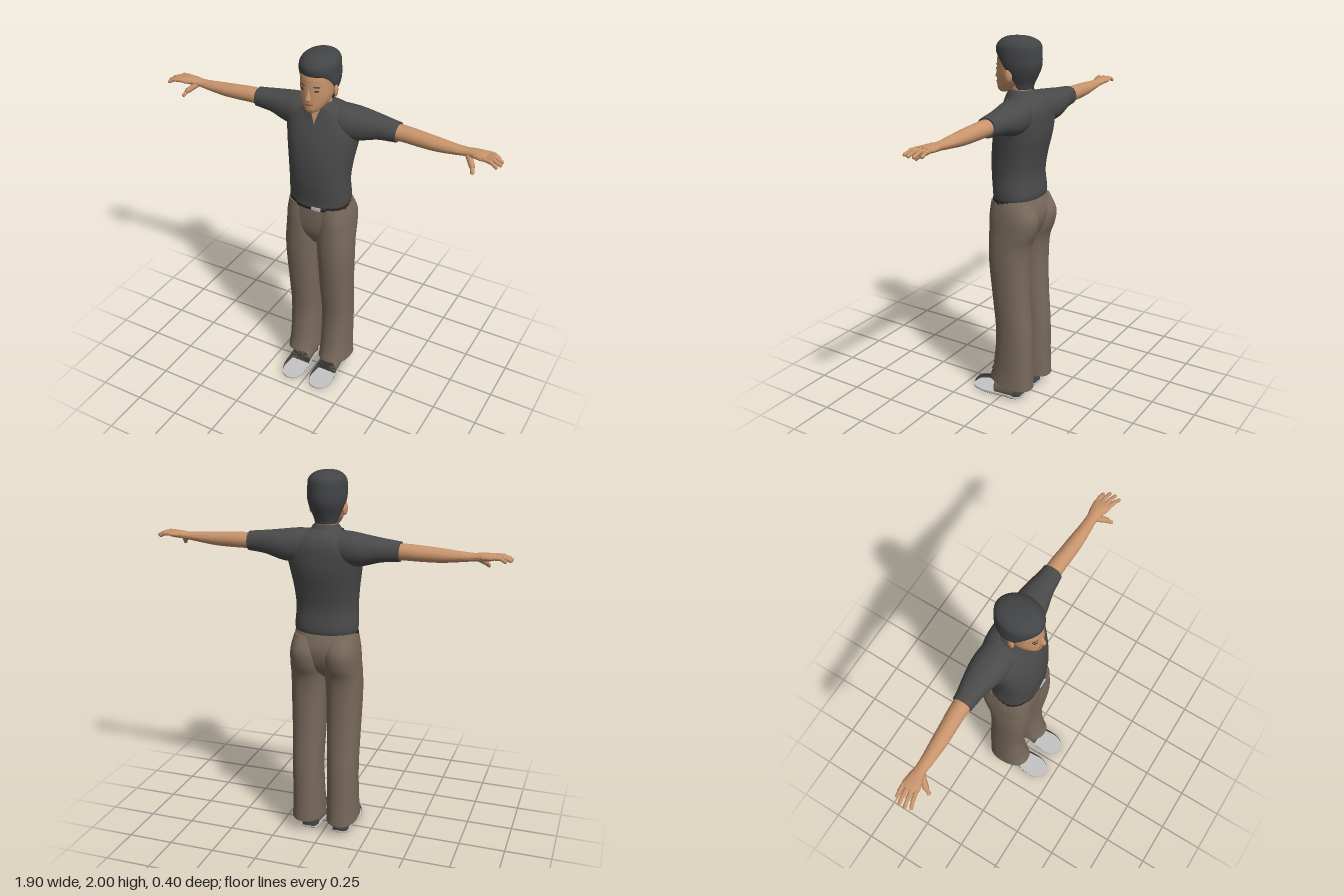
import * as THREE from 'three';
import { toCreasedNormals } from 'three/addons/utils/BufferGeometryUtils.js';

const mat = (name, color, side = THREE.FrontSide) => {
  const m = new THREE.MeshStandardMaterial({ color, side });
  m.name = name;
  return m;
};
const { clamp, smoothstep } = THREE.MathUtils;

// Smooth closed body through sections [t, aMin, aMax, bMin, bMax] along an axis.
// axis 0: a=y b=z, axis 1: a=z b=x, axis 2: a=x b=y. Four values: b is symmetric.
function loft(axis, rows, { n = 2, seg = 32, sub = 5, deform } = {}) {
  rows = rows.map(r => (r.length === 4 ? [r[0], r[1], r[2], -r[3], r[3]] : r));
  const pos = [], idx = [], last = rows.length - 1, count = last * sub;
  const at = i => rows[clamp(i, 0, last)];
  const sample = u => {
    const i = Math.min(Math.floor(u), last - 1), f = u - i;
    return rows[0].map((_, c) => {
      const [p, q, r, s] = [at(i - 1)[c], at(i)[c], at(i + 1)[c], at(i + 2)[c]];
      return q + 0.5 * f * (r - p + f * (2 * p - 5 * q + 4 * r - s + f * (3 * (q - r) + s - p)));
    });
  };
  const put = (t, a, b) => {
    const v = new THREE.Vector3();
    v.setComponent(axis, t).setComponent((axis + 1) % 3, a).setComponent((axis + 2) % 3, b);
    if (deform) deform(v);
    pos.push(v.x, v.y, v.z);
  };
  const power = x => Math.sign(x) * Math.abs(x) ** (2 / n);
  for (let i = 0; i <= count; i++) {
    const [t, a0, a1, b0, b1] = sample(i / sub);
    for (let j = 0; j < seg; j++) {
      const w = (j / seg) * Math.PI * 2;
      put(t, (a0 + a1) / 2 + power(Math.cos(w)) * (a1 - a0) / 2, (b0 + b1) / 2 + power(Math.sin(w)) * (b1 - b0) / 2);
    }
  }
  for (const r of [rows[0], rows[last]]) put(r[0], (r[1] + r[2]) / 2, (r[3] + r[4]) / 2);
  const c0 = (count + 1) * seg, top = count * seg;
  for (let j = 0; j < seg; j++) {
    const k = (j + 1) % seg;
    for (let i = 0; i < count; i++) {
      const p = i * seg + j, q = i * seg + k;
      idx.push(p, q, p + seg, q, q + seg, p + seg);
    }
    idx.push(c0, k, j, c0 + 1, top + j, top + k);
  }
  const g = new THREE.BufferGeometry();
  g.setAttribute('position', new THREE.Float32BufferAttribute(pos, 3));
  g.setIndex(idx);
  return toCreasedNormals(g, 1.0);
}

// Copy reflected in x, with the corner order put right
function mirror(geo) {
  const g = geo.index ? geo.toNonIndexed() : geo.clone();
  g.deleteAttribute('uv');
  for (const a of Object.values(g.attributes))
    for (let i = 0; i < a.count; i += 3)
      for (let c = 0; c < 3; c++) {
        const t = a.getComponent(i, c);
        a.setComponent(i, c, a.getComponent(i + 2, c));
        a.setComponent(i + 2, c, t);
      }
  return g.scale(-1, 1, 1);
}

function capsule(p, q, r) {
  const a = new THREE.Vector3(...p), d = new THREE.Vector3(...q).sub(a);
  const g = new THREE.CapsuleGeometry(r, d.length(), 5, 10);
  g.applyQuaternion(new THREE.Quaternion().setFromUnitVectors(new THREE.Vector3(0, 1, 0), d.clone().normalize()));
  return g.translate(a.x + d.x / 2, a.y + d.y / 2, a.z + d.z / 2);
}

const ellipsoid = (x, y, z, rx, ry, rz, turn = 0) =>
  new THREE.SphereGeometry(1, 16, 12).scale(rx, ry, rz).rotateY(turn).translate(x, y, z);

function facet(points) {
  const g = new THREE.BufferGeometry().setFromPoints(points.map(p => new THREE.Vector3(...p)));
  g.setIndex(points.length === 4 ? [0, 1, 2, 0, 2, 3] : [0, 1, 2]);
  g.computeVertexNormals();
  return g;
}

export function createModel() {
  const model = new THREE.Group();
  model.name = 'standingMan';
  const skin = mat('skin', 0xc8946c), skinSheet = skin;
  skinSheet.side = THREE.DoubleSide;
  const shirt = mat('shirt', 0x4a4a4b, THREE.DoubleSide), hairMat = mat('hair', 0x434446);
  const cloth = mat('trousers', 0x78695b), shoe = mat('shoe', 0x464648);
  const pale = mat('soleRim', 0xc4c4c4), dark = mat('dark', 0x2c2624), lip = mat('lips', 0xa0644f);
  const add = (name, geo, m) => {
    const mesh = new THREE.Mesh(geo, m);
    mesh.name = name;
    model.add(mesh);
  };
  const pair = (name, geo, m) => {
    add(name + 'Left', geo, m);
    add(name + 'Right', mirror(geo), m);
  };

  // Shirt
  add('shirtBody', loft(1, [
    [1.165, -0.155, 0.083, 0.163], [1.2, -0.162, 0.083, 0.168], [1.3, -0.152, 0.092, 0.164],
    [1.4, -0.165, 0.09, 0.172], [1.5, -0.185, 0.075, 0.188], [1.58, -0.19, 0.05, 0.2],
    [1.64, -0.187, 0.025, 0.19], [1.685, -0.168, 0.005, 0.14], [1.715, -0.13, -0.01, 0.07],
  ], { n: 2.3, seg: 40 }), shirt);
  pair('sleeve', loft(0, [
    [0.06, 1.56, 1.712, -0.165, 0], [0.14, 1.54, 1.71, -0.178, 0.005], [0.21, 1.543, 1.702, -0.178, -0.008],
    [0.3, 1.568, 1.69, -0.162, -0.03], [0.36, 1.575, 1.683, -0.15, -0.038], [0.402, 1.578, 1.678, -0.145, -0.043],
  ], { n: 2.2 }), shirt);
  const collar = [[0.058, 1.737], [0.07, 1.725], [0.088, 1.69]].map(p => new THREE.Vector2(...p));
  add('collar', new THREE.LatheGeometry(collar, 32, 0.45, Math.PI * 2 - 0.9).translate(0, 0, -0.05), shirt);
  pair('collarFlap', facet([[0.03, 1.72, 0.02], [0.006, 1.645, 0.043], [0.05, 1.648, 0.04], [0.078, 1.7, 0.006]]), shirt);
  add('openNeck', facet([[-0.036, 1.715, 0.014], [0, 1.63, 0.039], [0.036, 1.715, 0.014]]), skin);

  // Arms, palms and fingers
  pair('arm', loft(0, [
    [0.36, 1.588, 1.67, -0.138, -0.05], [0.45, 1.587, 1.669, -0.137, -0.05], [0.53, 1.586, 1.664, -0.13, -0.048],
    [0.61, 1.588, 1.658, -0.124, -0.047], [0.7, 1.598, 1.65, -0.115, -0.051], [0.76, 1.606, 1.647, -0.112, -0.054],
    [0.8, 1.61, 1.65, -0.118, -0.044], [0.845, 1.614, 1.649, -0.122, -0.03], [0.868, 1.621, 1.645, -0.117, -0.032],
  ], { seg: 24 }), skin);
  const fingers = [[-0.109, -0.106, 0.915], [-0.086, -0.079, 0.937], [-0.063, -0.049, 0.939], [-0.041, -0.021, 0.928]];
  fingers.forEach(([z0, z1, tip], i) => {
    const mid = [(0.86 + tip) / 2 + 0.004, 1.633, (z0 + z1) / 2];
    pair('finger' + (i + 1), capsule([0.855, 1.634, z0], mid, 0.0105), skin);
    pair('fingertip' + (i + 1), capsule(mid, [tip, 1.62, z1], 0.009), skin);
  });
  pair('thumbBase', capsule([0.775, 1.62, -0.065], [0.812, 1.592, -0.025], 0.015), skin);
  pair('thumbTip', capsule([0.812, 1.592, -0.025], [0.824, 1.572, -0.002], 0.01), skin);

  // Trousers, with hems lower at the heel
  add('trouserSeat', loft(1, [
    [0.91, -0.07, 0.03, 0.05], [0.96, -0.135, 0.06, 0.13], [1.02, -0.168, 0.077, 0.178],
    [1.1, -0.18, 0.08, 0.181], [1.19, -0.152, 0.074, 0.16],
  ], { n: 2.4 }), cloth);
  pair('trouserLeg', loft(1, [
    [0.075, -0.175, 0.078, 0.012, 0.188], [0.2, -0.17, 0.055, 0.015, 0.183], [0.4, -0.165, 0.037, 0.017, 0.183],
    [0.6, -0.15, 0.055, 0.01, 0.187], [0.8, -0.145, 0.075, 0.004, 0.193], [0.92, -0.155, 0.08, -0.002, 0.192],
    [1.0, -0.185, 0.08, -0.005, 0.188], [1.08, -0.194, 0.079, 0, 0.183], [1.16, -0.155, 0.07, 0.01, 0.166],
  ], { n: 2.3, deform: v => { v.y += clamp((0.2 - v.y) / 0.12, 0, 1) * 0.16 * (v.z + 0.175); } }), cloth);
  add('belt', loft(1, [[1.148, -0.15, 0.081, 0.168], [1.175, -0.15, 0.081, 0.166]], { n: 2.4, sub: 1 }), dark);
  add('buckle', new THREE.BoxGeometry(0.05, 0.018, 0.008).translate(0.035, 1.161, 0.082), pale);

  // Shoes: toe, brown quarter, heel and sole
  const flat = v => { v.y = Math.max(v.y, 0.012); };
  const shoePart = (name, rows, m) =>
    pair(name, loft(2, rows.map(([z, w, h]) => [z, 0.089 - w, 0.089 + w, -0.02, h]), { n: 2.2, deform: flat }), m);
  shoePart('shoeToe', [[0.197, 0.02, 0.03], [0.18, 0.044, 0.05], [0.14, 0.062, 0.063], [0.09, 0.064, 0.076], [0.045, 0.059, 0.098]], shoe);
  shoePart('shoeQuarter', [[-0.075, 0.047, 0.1], [-0.03, 0.05, 0.115], [0.045, 0.058, 0.103]], cloth);
  shoePart('shoeHeel', [[-0.106, 0.026, 0.055], [-0.095, 0.04, 0.068], [-0.07, 0.049, 0.075]], shoe);
  const outline = [[0, -0.2], [0.045, -0.183], [0.066, -0.13], [0.062, -0.05], [0.05, 0.02], [0.05, 0.08], [0.03, 0.106]];
  const sole = k => new THREE.Shape(new THREE.CatmullRomCurve3(
    [...outline, ...outline.slice(1).reverse().map(([x, y]) => [-x, y])].map(([x, y]) => new THREE.Vector3(x * k, y * k, 0)),
    true).getPoints(48).slice(0, -1).map(p => new THREE.Vector2(p.x, p.y)));
  const plate = (k, depth, y) => new THREE.ExtrudeGeometry(sole(k), { depth, bevelEnabled: false })
    .rotateX(-Math.PI / 2).scale(1, 1, 1).translate(0.089, y, 0);
  pair('soleRim', plate(1, 0.01, 0.004), pale);
  pair('soleBottom', plate(0.95, 0.004, 0), shoe);

  // Head and neck
  add('neck', loft(1, [[1.65, -0.1, 0.012, 0.06], [1.7, -0.095, 0.012, 0.054], [1.78, -0.1, 0.02, 0.054]]), skin);
  add('head', loft(1, [
    [1.712, 0.035, 0.078, 0.02], [1.724, -0.01, 0.09, 0.04], [1.755, -0.065, 0.093, 0.064], [1.8, -0.1, 0.092, 0.081],
    [1.85, -0.12, 0.09, 0.087], [1.9, -0.125, 0.084, 0.089], [1.95, -0.11, 0.06, 0.075], [1.98, -0.06, 0.01, 0.03],
  ]), skin);
  add('nose', loft(1, [[1.776, 0.07, 0.096, 0.013], [1.786, 0.07, 0.11, 0.016], [1.81, 0.07, 0.102, 0.011], [1.845, 0.07, 0.09, 0.008]], { seg: 16 }), skin);
  add('mouth', ellipsoid(0, 1.763, 0.091, 0.026, 0.007, 0.006), lip);
  pair('ear', ellipsoid(0.09, 1.812, -0.022, 0.011, 0.034, 0.02, 0.3), skin);
  pair('eye', ellipsoid(0.036, 1.834, 0.0785, 0.015, 0.005, 0.004, 0.38), dark);
  pair('eyebrow', ellipsoid(0.038, 1.855, 0.0775, 0.02, 0.004, 0.004, 0.4), hairMat);

  // Hair: the hairline drops from forehead to nape and narrows there
  add('hair', loft(1, [
    [1.908, -0.15, 0.087, 0.097], [1.925, -0.153, 0.092, 0.1], [1.95, -0.152, 0.09, 0.098],
    [1.975, -0.138, 0.072, 0.083], [1.993, -0.1, 0.04, 0.055], [2.0, -0.05, -0.01, 0.015],
  ], {
    seg: 48, deform: v => {
      const low = clamp((1.955 - v.y) / 0.047, 0, 1);
      v.y -= low * 0.168 * clamp((0.07 - v.z) / 0.14, 0, 1) ** 1.5;
      const k = 1 - 0.36 * (1 - smoothstep(v.y, 1.73, 1.87));
      v.x *= k;
      v.z = -0.03 + (v.z + 0.03) * k;
    },
  }), hairMat);
  return model;
}
